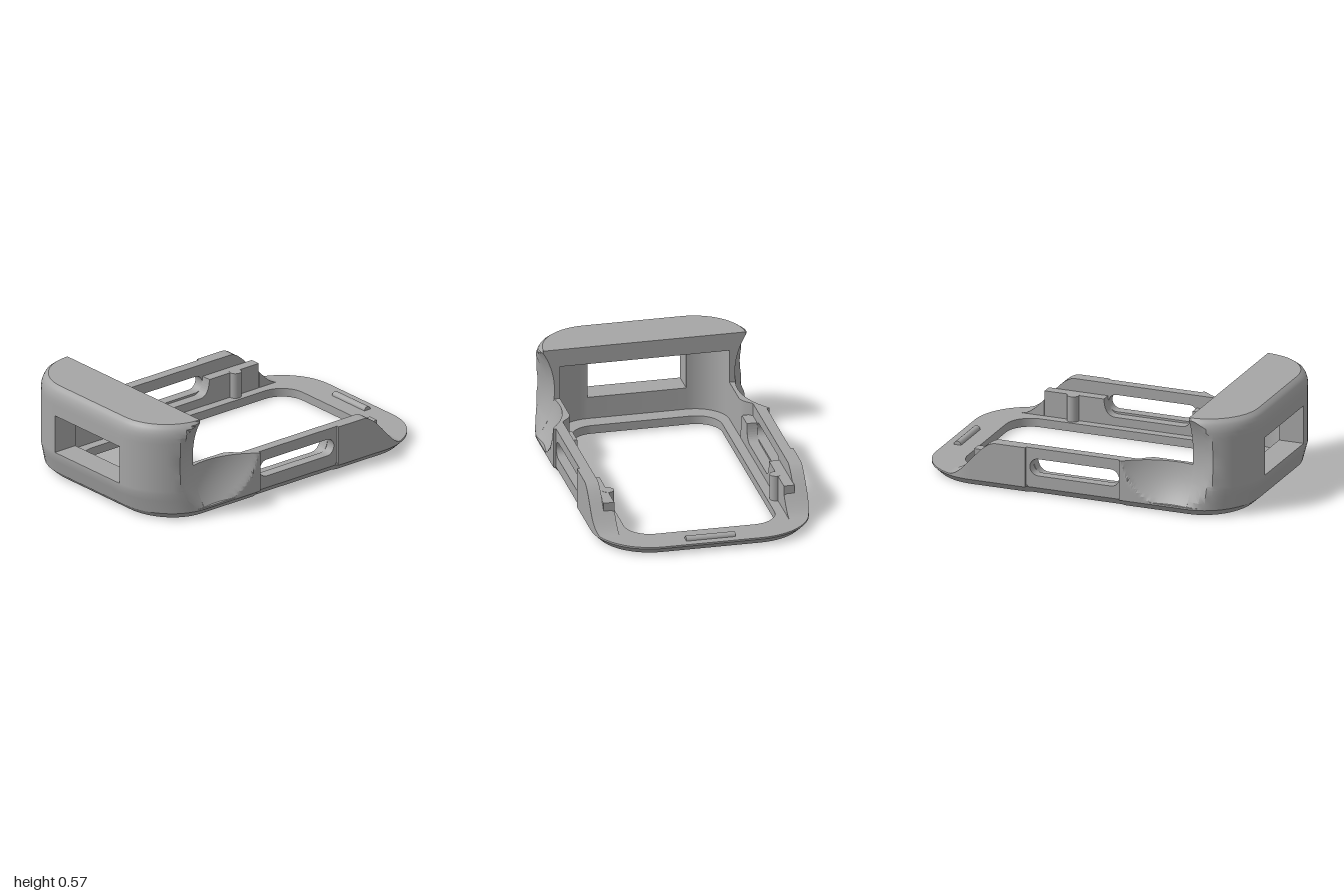
import * as THREE from 'three';
import { toCreasedNormals } from 'three/addons/utils/BufferGeometryUtils.js';

const grey = new THREE.MeshStandardMaterial({ color: 0xa6a6a6, side: THREE.DoubleSide });
grey.name = 'grey plastic';

function addMesh(parent, name, geometry) {
  const mesh = new THREE.Mesh(geometry, grey);
  mesh.name = name;
  parent.add(mesh);
  return mesh;
}

// Surface through a grid of points; keep(i, j) may leave cells open
function skin(rows, { wrapRows = false, wrapCols = false, keep = () => true } = {}) {
  const n = rows.length, m = rows[0].length, index = [];
  const at = (i, j) => (i % n) * m + (j % m);
  for (let i = 0; i < (wrapRows ? n : n - 1); i++)
    for (let j = 0; j < (wrapCols ? m : m - 1); j++)
      if (keep(i, j)) index.push(at(i, j), at(i + 1, j), at(i + 1, j + 1), at(i, j), at(i + 1, j + 1), at(i, j + 1));
  const g = new THREE.BufferGeometry();
  g.setAttribute('position', new THREE.Float32BufferAttribute(rows.flat(2), 3));
  g.setIndex(index);
  return toCreasedNormals(g, 0.5);
}

// Shape drawn in (z, y), extruded along x between two positions
function extrudeX(shape, x0, x1) {
  const g = new THREE.ExtrudeGeometry(shape, { depth: x1 - x0, bevelEnabled: false, curveSegments: 10 });
  return g.rotateY(-Math.PI / 2).translate(x1, 0, 0);
}

const CX = 0.285, CZ = 0.66, R = 0.34, STEPS = 14;

// Spherical thumb scoop limiting the half width at (y, z)
const scoop = (y, z) => 0.96 - Math.sqrt(Math.max(0, 0.2025 - (y - 0.33) ** 2 - (z - 0.56) ** 2));

// Half width of the body at z
function halfWidth(z) {
  const d = Math.max(0, Math.abs(z) - CZ);
  return CX + Math.sqrt(Math.max(0, R * R - d * d));
}

// Closed rounded outline with optional recessed flanks
function ring(y, rx, zf, rzf, zb, rzb, recess) {
  const pts = [];
  const arc = (sx, z, rz, a0) => {
    for (let i = 0; i <= STEPS; i++) {
      const a = a0 + (i / STEPS) * Math.PI / 2;
      pts.push([sx * CX + Math.cos(a) * rx, y, z + Math.sin(a) * rz]);
    }
  };
  const flank = (s, zs) => zs.forEach((z, i) =>
    pts.push([s * (CX + rx - (i === 1 || i === 2 ? recess : 0)), y, z]));
  arc(1, zf, rzf, 0);
  arc(-1, zf, rzf, Math.PI / 2);
  flank(-1, [0.27, 0.25, -0.31, -0.33]);
  arc(-1, -zb, rzb, Math.PI);
  arc(1, -zb, rzb, Math.PI * 1.5);
  flank(1, [-0.33, -0.31, 0.25, 0.27]);
  return pts;
}

function buildBase(group) {
  const rows = [
    ring(0, 0.3, CZ, 0.26, CZ, 0.295, 0.01),
    ring(0.04, R, CZ, 0.305, CZ, R, 0.015),
    ring(0.05, R, CZ, 0.305, CZ, R, 0.015),
    ring(0.05, 0.15, 0.6, 0.15, CZ, 0.15, 0),
    ring(0, 0.15, 0.6, 0.15, CZ, 0.15, 0),
  ];
  addMesh(group, 'baseFrame', skin(rows, { wrapRows: true, wrapCols: true }));
  const pin = addMesh(group, 'rearPin', new THREE.CylinderGeometry(0.022, 0.022, 0.285, 16));
  pin.rotation.z = Math.PI / 2;
  pin.position.set(0, 0.05, -0.93);
}

function buildHood(group) {
  const win = { x: CX, y0: 0.18, y1: 0.405 }, inZ = 0.85, roofY = 0.47;
  // One row of points from the left flank round the front to the right flank
  const sweep = (y, rx, rz, cut) => {
    const pts = [];
    for (const s of [1, -1]) for (let i = 0; i <= STEPS; i++) {
      const a = (s > 0 ? i : STEPS - i) / STEPS * Math.PI / 2;
      const z = CZ + Math.sin(a) * rz, w = CX + Math.cos(a) * rx;
      pts.push([s * (cut ? Math.min(w, scoop(y, z)) : w), y, z]);
    }
    return pts;
  };
  const ys = [0.04, 0.08, 0.12, 0.16, 0.18, 0.22, 0.26, 0.3, 0.34, 0.375, 0.405, 0.44, 0.47, 0.5, 0.525, 0.545, 0.56, 0.575];
  const outer = ys.map(y => {
    const t = Math.max(0, (y - 0.49) / 0.085);
    const top = 0.05 * (1 - Math.sqrt(1 - 0.97 * t * t));
    const low = 0.035 * Math.max(0, (0.16 - y) / 0.12);
    return sweep(y, R - top, R - top - low, true);
  });
  const innerYs = ys.filter(y => y <= roofY);
  const inner = innerYs.map(y => sweep(y, 0.205, inZ - CZ, false));
  const keepFor = list => (i, j) => !(j === STEPS && list[i] >= win.y0 && list[i] < win.y1);
  addMesh(group, 'hoodShell', skin(outer, { keep: keepFor(ys) }));
  addMesh(group, 'hoodLining', skin(inner, { keep: keepFor(innerYs) }));

  // Roof and ceiling, closed across from flank to flank
  const cap = row => skin([row.slice(0, STEPS + 1), row.slice(STEPS + 1).reverse()]);
  addMesh(group, 'hoodRoof', cap(outer[outer.length - 1]));
  addMesh(group, 'hoodCeiling', cap(inner[inner.length - 1]));

  // Rear rim between shell and lining
  for (const s of [1, -1]) {
    const col = s > 0 ? 0 : 2 * STEPS + 1;
    const rim = outer.map((row, i) => [row[col], [s * 0.49, Math.min(ys[i], roofY), CZ]]);
    addMesh(group, s > 0 ? 'leftHoodRim' : 'rightHoodRim', skin(rim));
  }
  const tip = outer[outer.length - 1][0];
  addMesh(group, 'roofRearEdge', skin([
    [tip, [-tip[0], tip[1], CZ]],
    [[0.49, roofY, CZ], [-0.49, roofY, CZ]],
  ]));

  // Window reveal
  const frame = z => [[1, win.y0], [1, win.y1], [-1, win.y1], [-1, win.y0]].map(([s, y]) => [s * win.x, y, z]);
  addMesh(group, 'windowReveal', skin([frame(inZ), frame(1)], { wrapCols: true }));
}

// Lofted rail section between two z positions
function rail(z0, z1, count, inside) {
  const K = 12, rows = [];
  for (let i = 0; i <= count; i++) {
    const z = z0 + (z1 - z0) * i / count;
    const top = 0.05 + 0.225 * THREE.MathUtils.smoothstep(z, -0.8, -0.5);
    const row = [], inX = inside(z);
    for (let k = 0; k <= K; k++) {
      const y = 0.04 + (top - 0.04) * k / K;
      row.push([Math.min(halfWidth(z), scoop(y, z)), y, z]);
    }
    row.push([inX, top, z], [inX, 0.04, z]);
    rows.push(row);
  }
  // Collapse both ends onto an inner corner to close them
  const close = row => row.map(() => row[row.length - 1]);
  return skin([close(rows[0]), ...rows, close(rows[count])], { wrapCols: true });
}

function buildSide(name, s) {
  const side = new THREE.Group();
  side.name = name;
  side.scale.x = s;

  addMesh(side, 'rearRail', rail(-0.8, -0.32, 32, z => (z < -0.66 ? 0.49 : 0.55)));
  addMesh(side, 'frontRail', rail(0.25, CZ, 32, z => {
    const t = THREE.MathUtils.clamp((z - 0.34) / 0.09, 0, 1);
    return 0.55 - 0.06 * Math.sin(t * Math.PI / 2);
  }));

  // Recessed middle rail with a rounded slot
  const wall = new THREE.Shape();
  wall.moveTo(-0.32, 0.04).lineTo(0.25, 0.04).lineTo(0.25, 0.275).lineTo(-0.32, 0.275).closePath();
  const slot = new THREE.Path();
  slot.absarc(-0.247, 0.162, 0.05, Math.PI / 2, Math.PI * 1.5, false);
  slot.absarc(0.195, 0.162, 0.05, -Math.PI / 2, Math.PI / 2, false);
  slot.closePath();
  wall.holes.push(slot);
  addMesh(side, 'slottedRail', extrudeX(wall, 0.55, 0.61));

  // Inner step, dipped along the slot
  const step = new THREE.Shape();
  step.moveTo(-0.66, 0.04).lineTo(-0.66, 0.2).lineTo(-0.3, 0.2);
  step.quadraticCurveTo(-0.295, 0.1, -0.23, 0.1);
  step.lineTo(0.17, 0.1);
  step.quadraticCurveTo(0.235, 0.1, 0.24, 0.2);
  step.lineTo(0.36, 0.2).lineTo(0.4, 0.04).closePath();
  addMesh(side, 'innerStep', extrudeX(step, 0.49, 0.552));

  const peg = addMesh(side, 'retainingPeg', new THREE.CylinderGeometry(0.035, 0.035, 0.16, 20));
  peg.position.set(0.485, 0.121, -0.485);
  return side;
}

export function createModel() {
  const model = new THREE.Group();
  model.name = 'deviceCradle';
  buildBase(model);
  buildHood(model);
  model.add(buildSide('leftSide', 1), buildSide('rightSide', -1));
  return model;
}
